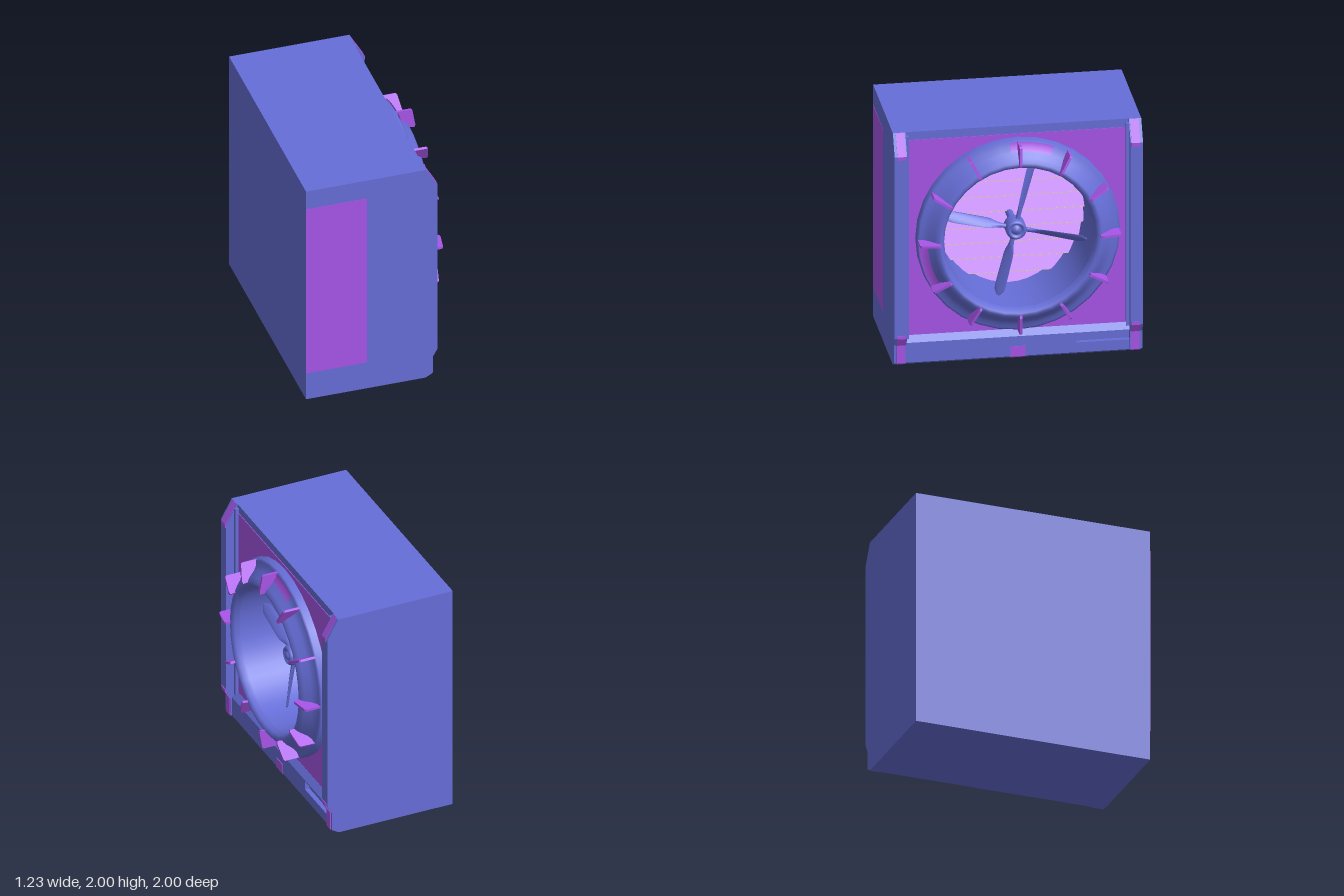
import * as THREE from 'three';

const mat = (color) => new THREE.MeshStandardMaterial({ color, side: THREE.DoubleSide });
const blue = mat(0x666ed8), purple = mat(0xa855e8), yellow = mat(0xe4e07c);
const AXIS_Y = 1.085, BACK = -0.1, R = 0.61;

function add(parent, name, geometry, material) {
  const mesh = new THREE.Mesh(geometry, material);
  mesh.name = name;
  parent.add(mesh);
  return mesh;
}

function box(x0, x1, y0, y1, z0, z1) {
  return new THREE.BoxGeometry(x1 - x0, y1 - y0, z1 - z0)
    .translate((x0 + x1) / 2, (y0 + y1) / 2, (z0 + z1) / 2);
}

// Side profile in x, y pulled along z
function slab(points, z0, z1) {
  const shape = new THREE.Shape(points.map(([x, y]) => new THREE.Vector2(x, y)));
  return new THREE.ExtrudeGeometry(shape, { depth: z1 - z0, bevelEnabled: false }).translate(0, 0, z0);
}

// Upright plate with the round fan opening, pulled along x
function holedPlate(halfWidth, y0, y1, x0, x1) {
  const s = new THREE.Shape();
  s.moveTo(-halfWidth, y0).lineTo(halfWidth, y0).lineTo(halfWidth, y1).lineTo(-halfWidth, y1).closePath();
  s.holes.push(new THREE.Path().absarc(0, AXIS_Y, R, 0, Math.PI * 2, true));
  return new THREE.ExtrudeGeometry(s, { depth: x1 - x0, bevelEnabled: false, curveSegments: 32 })
    .rotateY(Math.PI / 2).translate(x0, 0, 0);
}

// Profile of [radius, x] turned around the fan axis
function turned(points, segments = 32, start = 0, length = Math.PI * 2) {
  return new THREE.LatheGeometry(points.map(([r, x]) => new THREE.Vector2(r, x)), segments, start, length)
    .rotateZ(-Math.PI / 2);
}

// Flattened, twisted blade growing along +y
function bladeGeometry() {
  const g = new THREE.CylinderGeometry(1, 1, 0.51, 10, 12);
  const p = g.attributes.position;
  for (let i = 0; i < p.count; i++) {
    const t = p.getY(i) / 0.51 + 0.5;
    const spread = THREE.MathUtils.smoothstep(t, 0.05, 0.3);
    const tip = Math.sqrt(Math.max(0.08, 1 - Math.max(0, (t - 0.85) / 0.15) ** 2));
    const w = (0.018 + 0.03 * spread) * tip, d = 0.018 - 0.01 * spread;
    const a = 0.95 - 0.35 * t;
    const u = p.getX(i) * d, v = p.getZ(i) * w;
    p.setXYZ(i, u * Math.cos(a) + v * Math.sin(a), 0.08 + t * 0.51, v * Math.cos(a) - u * Math.sin(a));
  }
  g.computeVertexNormals();
  return g;
}

export function createModel() {
  const model = new THREE.Group();
  model.name = 'boxFan';

  // Housing
  add(model, 'rearHousing', box(-0.62, BACK, 0, 2, -1, 1), blue);
  add(model, 'frontHousing', holedPlate(1, 0, 2, BACK, 0.38), blue);
  add(model, 'facePlate', holedPlate(0.88, 0.24, 1.93, 0.379, 0.386), purple);
  add(model, 'sidePanel', box(-0.62, -0.11, 0.25, 1.83, 0.99, 1.002), purple);

  // Side rails with coloured corner guards
  const rail = [[0.37, 0], [0.38, 0], [0.44, 0.035], [0.44, 0.19], [0.48, 0.26], [0.48, 1.83], [0.385, 2], [0.37, 2]];
  const upperGuard = [[0.38, 1.995], [0.388, 1.998], [0.486, 1.83], [0.486, 1.8], [0.45, 1.8]];
  const lowerGuard = [[0.38, 0.01], [0.388, 0.001], [0.447, 0.033], [0.447, 0.188], [0.487, 0.258], [0.487, 0.285],
    [0.46, 0.285], [0.42, 0.19]];
  for (const s of [-1, 1]) {
    const side = new THREE.Group();
    side.name = s > 0 ? 'leftRail' : 'rightRail';
    const range = (a, b) => (s > 0 ? [a, b] : [-b, -a]);
    add(side, 'rail', slab(rail, ...range(0.9, 1)), blue);
    add(side, 'railStep', box(0.37, 0.41, 0.2, 1.97, ...range(0.875, 0.9)), blue);
    add(side, 'upperGuard', slab(upperGuard, ...range(0.908, 0.978)), purple);
    add(side, 'lowerGuard', slab(lowerGuard, ...range(0.908, 0.978)), purple);
    model.add(side);
  }

  // Bottom panel, with a long finger slot on one side
  const sill = [[0.37, 0], [0.38, 0], [0.43, 0.03], [0.43, 0.2], [0.388, 0.25], [0.37, 0.25]];
  const slotted = [[0.37, 0], [0.38, 0], [0.43, 0.03], [0.43, 0.115], [0.39, 0.115], [0.39, 0.19], [0.43, 0.19],
    [0.43, 0.2], [0.388, 0.25], [0.37, 0.25]];
  add(model, 'bottomPanel', slab(sill, -0.47, 0.9), blue);
  add(model, 'slottedBottomPanel', slab(slotted, -0.9, -0.47), blue);
  add(model, 'latch', slab([[0.37, 0.001], [0.386, 0.001], [0.436, 0.028], [0.436, 0.115], [0.42, 0.115]], -0.06, 0.06), purple);

  // Everything around the fan axis
  const fan = new THREE.Group();
  fan.name = 'fanAssembly';
  fan.position.y = AXIS_Y;
  model.add(fan);

  add(fan, 'duct', turned([[0.605, BACK], [0.605, 0.5]], 48), blue);
  add(fan, 'bellRing', turned([[0.605, 0.5], [0.615, 0.54], [0.635, 0.562], [0.66, 0.56], [0.69, 0.535],
    [0.73, 0.49], [0.77, 0.462], [0.8, 0.458], [0.82, 0.445], [0.82, 0.38]], 32), blue);

  // Coloured inlays on the ring
  const inlay = [[0.735, 0.494], [0.77, 0.47], [0.805, 0.464]];
  add(fan, 'topInlay', turned(inlay, 8, 4.35, 0.45), purple);
  add(fan, 'sideInlay', turned(inlay, 8, 0, 0.55), purple);

  // Radial fins
  const fin = slab([[0.42, 0.665], [0.605, 0.64], [0.612, 0.66], [0.588, 0.8], [0.575, 0.81], [0.42, 0.81]], -0.01, 0.01);
  for (let i = 0; i < 12; i++) add(fan, 'fin', fin, purple).rotation.x = (i * Math.PI) / 6;

  // Louvres at the back of the duct
  const pitch = 0.131;
  for (let i = 0; i < 10; i++) {
    const y0 = -0.635 + i * pitch, y1 = y0 + pitch;
    const near = y0 * y1 < 0 ? 0 : Math.min(Math.abs(y0), Math.abs(y1));
    const half = Math.sqrt(R * R - near * near);
    add(fan, 'louvre', slab([[BACK, y0], [BACK + 0.1, y0], [BACK, y1]], -half, half), purple);
    add(fan, 'louvreUnderside', box(BACK, BACK + 0.099, y0 - 0.004, y0 - 0.001, -half, half), yellow);
  }

  // Hub, shaft and blades
  add(fan, 'shaft', turned([[0.03, BACK], [0.03, 0.24]], 12), blue);
  add(fan, 'hub', turned([[0, 0.22], [0.07, 0.22], [0.083, 0.235], [0.083, 0.35], [0.07, 0.37], [0.055, 0.37],
    [0.05, 0.355], [0.035, 0.355], [0.03, 0.375], [0, 0.38]], 20), blue);
  const blade = bladeGeometry();
  for (let i = 0; i < 4; i++) add(fan, 'blade', blade, blue).rotation.x = -0.24 + (i * Math.PI) / 2;
  fan.children.filter((m) => m.name === 'blade').forEach((m) => { m.position.x = 0.3; });

  return model;
}
